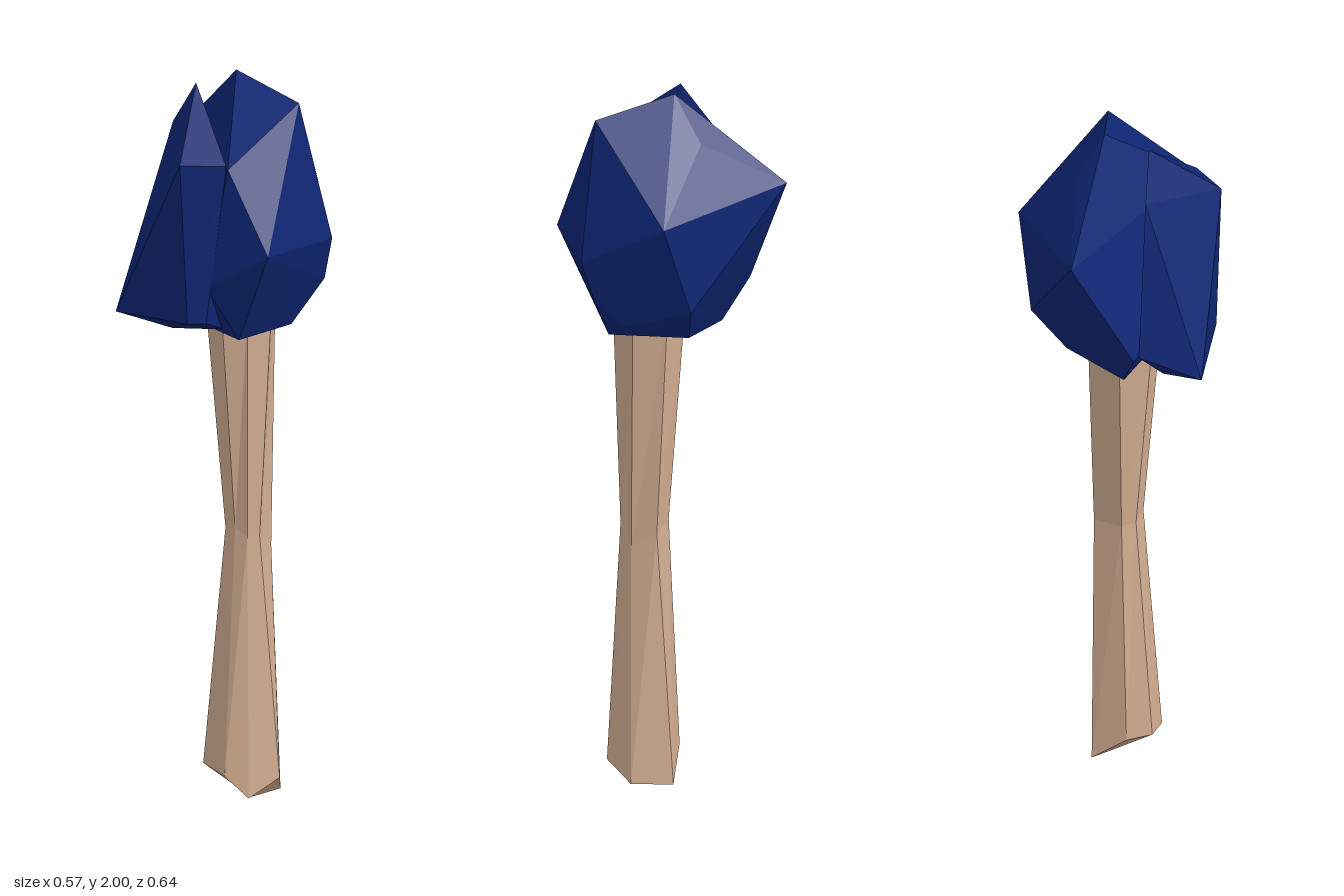
import * as THREE from 'three';
import { ConvexGeometry } from 'three/addons/geometries/ConvexGeometry.js';

const leafBlue = new THREE.MeshStandardMaterial({ color: 0x0e2675, flatShading: true });
leafBlue.name = 'leaf blue';
const barkTan = new THREE.MeshStandardMaterial({ color: 0xd4ae92, flatShading: true });
barkTan.name = 'bark tan';

// Trunk rings, each running left, front, right, back
const trunkRings = [
  [[-0.07, 0.1, 0.03], [-0.04, 0.08, 0.12], [0.02, 0.02, 0.145], [0.11, 0.07, 0.14], [0.14, 0.02, 0.06], [0.08, 0.01, -0.04], [-0.02, 0.09, -0.02]],
  [[-0.01, 0.75, 0.04], [0.0, 0.76, 0.09], [0.025, 0.74, 0.12], [0.06, 0.74, 0.12], [0.11, 0.7, 0.07], [0.1, 0.74, 0.0], [0.01, 0.75, 0.0]],
  [[-0.065, 1.36, 0.04], [-0.045, 1.36, 0.11], [0.02, 1.36, 0.135], [0.09, 1.36, 0.13], [0.125, 1.36, 0.06], [0.1, 1.36, -0.03], [-0.01, 1.36, -0.04]],
];

// Faceted skin through the rings, closed by a fan underneath
function loft(rings, bottom) {
  const pos = [];
  const n = rings[0].length;
  for (let j = 0; j < n; j++) {
    const k = (j + 1) % n;
    pos.push(...bottom, ...rings[0][k], ...rings[0][j]);
    for (let i = 0; i < rings.length - 1; i++) {
      const [a, b, c, d] = [rings[i][j], rings[i][k], rings[i + 1][k], rings[i + 1][j]];
      pos.push(...a, ...b, ...c, ...a, ...c, ...d);
    }
  }
  const geometry = new THREE.BufferGeometry();
  geometry.setAttribute('position', new THREE.Float32BufferAttribute(pos, 3));
  geometry.computeVertexNormals();
  return geometry;
}

// Faceted lump of leaves around a few corner points
function lump(points) {
  return new ConvexGeometry(points.map((p) => new THREE.Vector3(...p)));
}

// Large lump: crest, sides, then underside
const mainPoints = [
  [0.045, 2.0, -0.03], [0.16, 1.94, 0.155], [0.08, 1.88, -0.12], [-0.07, 1.79, 0.235], [0.19, 1.82, 0.125],
  [-0.045, 1.75, -0.32], [0.285, 1.7, -0.09], [0.253, 1.56, 0.16], [0.015, 1.56, 0.32],
  [0.245, 1.44, 0.12], [0.21, 1.44, -0.14], [-0.12, 1.46, 0.2], [-0.15, 1.42, -0.175], [-0.03, 1.39, 0.21],
  [0.22, 1.38, 0.04], [0.15, 1.32, 0.12], [0.12, 1.33, -0.1], [-0.03, 1.31, 0.21], [-0.08, 1.31, -0.12],
];

// Side lump with its own peak and a low outer corner
const sidePoints = [
  [-0.08, 1.98, 0.0], [-0.19, 1.8, 0.185], [-0.075, 1.8, 0.235], [-0.12, 1.86, -0.075],
  [-0.29, 1.35, -0.055], [-0.17, 1.36, 0.19], [-0.12, 1.36, 0.2], [-0.14, 1.3, -0.02],
  [-0.15, 1.42, -0.15], [-0.04, 1.32, 0.12],
];

export function createModel() {
  const tree = new THREE.Group();
  tree.name = 'tree';
  const parts = [
    ['trunk', loft(trunkRings, [0.06, 0, 0.05]), barkTan],
    ['mainFoliage', lump(mainPoints), leafBlue],
    ['sideFoliage', lump(sidePoints), leafBlue],
  ];
  for (const [name, geometry, material] of parts) {
    const mesh = new THREE.Mesh(geometry, material);
    mesh.name = name;
    tree.add(mesh);
  }
  return tree;
}
